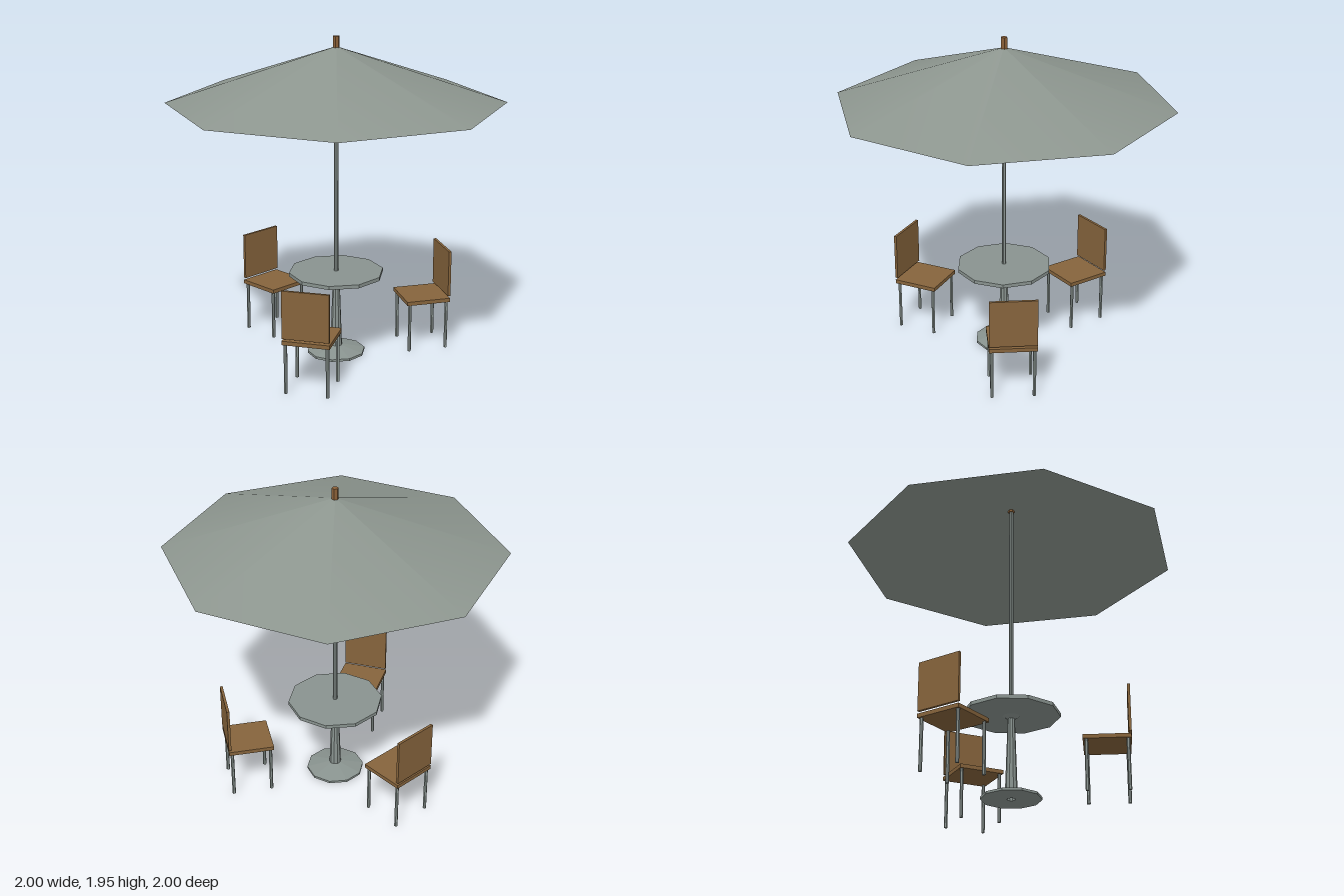
import * as THREE from 'three';

function material(name, color) {
  const m = new THREE.MeshStandardMaterial({ color });
  m.name = name;
  return m;
}

// faceted normals for low-poly parts
function faceted(geometry) {
  const g = geometry.index ? geometry.toNonIndexed() : geometry;
  g.computeVertexNormals();
  return g;
}

function part(parent, name, geometry, mat, x = 0, y = 0, z = 0) {
  const mesh = new THREE.Mesh(geometry, mat);
  mesh.name = name;
  mesh.position.set(x, y, z);
  parent.add(mesh);
  return mesh;
}

function turned(points, sides) {
  const profile = points.map(([r, y]) => new THREE.Vector2(r, y));
  return faceted(new THREE.LatheGeometry(profile, sides).rotateY(Math.PI / 2));
}

export function createModel() {
  const model = new THREE.Group();
  model.name = 'parasolTableSet';
  const metal = material('greyMetal', 0x89938f);
  const cloth = material('greyCanvas', 0x8d968f);
  cloth.side = THREE.DoubleSide;
  const wood = material('brownWood', 0x86643c);
  const finialWood = material('finialWood', 0x8a6038);

  // parasol: open octagonal canopy, pole and finial
  const parasol = new THREE.Group();
  parasol.name = 'parasol';
  model.add(parasol);
  part(parasol, 'canopy', new THREE.ConeGeometry(1, 0.33, 8, 1, true), cloth, 0, 1.725, 0);
  part(parasol, 'pole', faceted(new THREE.CylinderGeometry(0.013, 0.013, 1.37, 8)), metal, 0, 1.195, 0);
  part(parasol, 'finial', faceted(new THREE.CylinderGeometry(0.02, 0.02, 0.08, 6)), finialWood, 0, 1.91, 0);

  // table: ten-sided top on a tapered pedestal
  const table = new THREE.Group();
  table.name = 'table';
  model.add(table);
  part(table, 'tableTop', turned([[0, 0.503], [0.288, 0.503], [0.288, 0.525], [0, 0.525]], 10), metal);
  part(table, 'pedestal', turned([
    [0, 0.03], [0.025, 0.03], [0.025, 0], [0.177, 0], [0.177, 0.014],
    [0.036, 0.045], [0.021, 0.485], [0.05, 0.503],
  ], 10), metal);

  // three chairs evenly spaced around the table
  const seatGeometry = new THREE.BoxGeometry(0.28, 0.024, 0.275);
  const backGeometry = new THREE.BoxGeometry(0.277, 0.286, 0.016);
  const legGeometry = faceted(new THREE.CylinderGeometry(0.0105, 0.0105, 0.302, 6));
  for (let i = 0; i < 3; i++) {
    const chair = new THREE.Group();
    chair.name = `chair${i + 1}`;
    chair.rotation.y = (i * Math.PI * 2) / 3;
    model.add(chair);
    part(chair, 'seat', seatGeometry, wood, 0, 0.314, -0.55);
    part(chair, 'backrest', backGeometry, wood, 0, 0.483, -0.681);
    for (const x of [-0.123, 0.123]) {
      for (const z of [-0.433, -0.668]) part(chair, 'chairLeg', legGeometry, metal, x, 0.151, z);
    }
  }
  return model;
}
